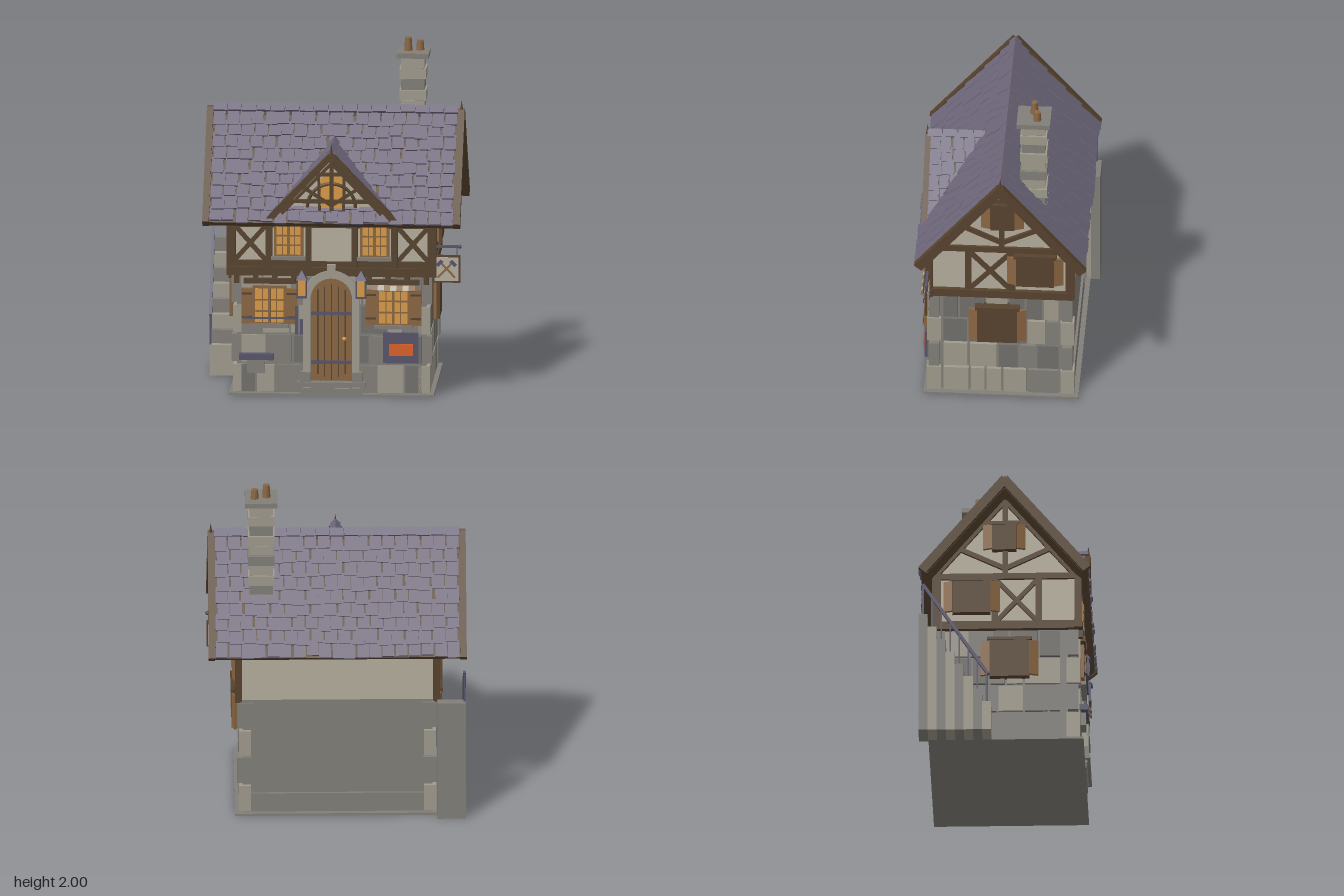
import * as THREE from 'three';
import { mergeGeometries } from 'three/addons/utils/BufferGeometryUtils.js';

const mat = (name, color) => Object.assign(new THREE.MeshStandardMaterial({ color }), { name });

export function createModel() {
  const slate = mat('slate', 0x6e677a), dark = mat('darkWood', 0x57432e), wood = mat('wood', 0x8a6642);
  const plaster = mat('plaster', 0xb5ae9d), pale = mat('paleStone', 0xa09b8d), stone = mat('stone', 0x827f79);
  const grey = mat('greyStone', 0x71706b), glow = mat('glow', 0xd89b45), ember = mat('ember', 0xd9602a), iron = mat('iron', 0x58546a);
  const model = new THREE.Group();
  model.name = 'cottage';
  let seed = 7;
  const rnd = () => (seed = (seed * 16807) % 2147483647) / 2147483647;

  const add = (p, name, geo, m, pos = [0, 0, 0], rot = [0, 0, 0]) => {
    const mesh = new THREE.Mesh(geo, m);
    mesh.name = name;
    mesh.position.set(...pos);
    mesh.rotation.set(...rot);
    p.add(mesh);
    return mesh;
  };
  const box = (p, name, m, size, pos, rot) => add(p, name, new THREE.BoxGeometry(...size), m, pos, rot);
  const beam = (p, name, m, x1, y1, x2, y2, z, w = 0.035, d = 0.025) =>
    box(p, name, m, [Math.hypot(x2 - x1, y2 - y1), w, d], [(x1 + x2) / 2, (y1 + y2) / 2, z], [0, 0, Math.atan2(y2 - y1, x2 - x1)]);
  const group = (name, pos, rotY = 0, p = model) => {
    const g = new THREE.Group();
    g.name = name;
    g.position.set(...pos);
    g.rotation.y = rotY;
    p.add(g);
    return g;
  };
  const extrude = (pts, depth) => new THREE.ExtrudeGeometry(
    Array.isArray(pts) ? new THREE.Shape(pts.map(q => new THREE.Vector2(...q))) : pts, { depth, bevelEnabled: false, curveSegments: 16 });
  const arch = (r, y0, yc) => {
    const s = new THREE.Shape();
    s.moveTo(-r, y0).lineTo(r, y0).lineTo(r, yc).absarc(0, yc, r, 0, Math.PI, false);
    s.closePath();
    return s;
  };

  // Storeys
  box(model, 'baseSlab', stone, [1.19, 0.014, 0.9], [0, 0.007, 0.01]);
  box(model, 'lowerStorey', stone, [1.1, 0.72, 0.82], [0, 0.365, 0.015]);
  box(model, 'rearPlinth', stone, [1.08, 0.12, 0.02], [0, 0.07, -0.4]);
  const section = extrude([[-0.41, 0.73], [0.425, 0.73], [0.425, 1.03], [0.005, 1.53], [-0.41, 1.03]], 1.14);
  add(model, 'upperStorey', section.rotateY(-Math.PI / 2).translate(0.57, 0, 0), plaster);

  // Rows of uneven stones on a wall, merged by tone
  function stoneWall(p, u0, u1, z) {
    const tones = [[pale, []], [stone, []], [grey, []]];
    for (let r = 0; r < 4; r++) {
      for (let u = u0; u < u1 - 0.02;) {
        let w = 0.09 + rnd() * 0.09;
        if (u1 - u - w < 0.07) w = u1 - u;
        const g = new THREE.BoxGeometry(w - 0.013, 0.16, 0.04);
        tones[Math.floor(rnd() * 3)][1].push(g.translate(u + w / 2, 0.1 + r * 0.175, z));
        u += w;
      }
    }
    tones.forEach(([m, list]) => list.length && add(p, 'wallStones', mergeGeometries(list), m));
  }
  stoneWall(model, -0.53, 0.53, 0.42);
  for (const sx of [-1, 1]) for (const z of [0.4, -0.375]) for (let r = 0; r < 4; r++) {
    const k = r % 2 ? 0.02 : 0;
    box(model, 'cornerStone', r % 2 ? stone : pale, [0.07 + k, 0.16, 0.08 - k], [sx * 0.537, 0.1 + r * 0.175, z]);
  }

  // Front timber frame
  const front = group('frontTimbers', [0, 0, 0]);
  beam(front, 'jettyBeam', dark, -0.61, 0.735, 0.61, 0.735, 0.43, 0.05, 0.05);
  beam(front, 'sillBeam', dark, -0.6, 0.78, 0.6, 0.78, 0.43, 0.035, 0.03);
  beam(front, 'eaveBeam', dark, -0.6, 1.02, 0.6, 1.02, 0.43, 0.05, 0.03);
  box(front, 'centrePanel', plaster, [0.23, 0.23, 0.016], [0, 0.885, 0.436]);
  for (const s of [-1, 1]) {
    for (const [x, w] of [[0.585, 0.05], [0.365, 0.04], [0.135, 0.035]]) beam(front, 'post', dark, s * x, 0.72, s * x, 1.03, 0.43, w, 0.035);
    beam(front, 'brace', dark, s * 0.385, 0.8, s * 0.56, 1, 0.428, 0.026);
    beam(front, 'brace', dark, s * 0.385, 1, s * 0.56, 0.8, 0.428, 0.026);
    for (let i = 0; i < 4; i++) box(front, 'jettyBlock', dark, [0.03, 0.05, 0.05], [s * (0.22 + i * 0.11), 0.69, 0.43]);
    beam(model, 'rearPost', dark, s * 0.575, 0.72, s * 0.575, 1.03, -0.4, 0.04, 0.04);
  }

  function litWindow(x, y, w, h, z) {
    const g = group('window', [x, y, z]);
    box(g, 'frame', wood, [w + 0.03, h + 0.03, 0.02], [0, 0, 0]);
    box(g, 'glass', glow, [w, h, 0.008], [0, 0, 0.01]);
    box(g, 'mullion', wood, [0.016, h, 0.012], [0, 0, 0.014]);
    for (const k of [-1, 1]) {
      box(g, 'crossBar', wood, [w, 0.009, 0.01], [0, k * h / 6, 0.013]);
      box(g, 'thinBar', wood, [0.006, h, 0.01], [k * w / 4, 0, 0.013]);
    }
    box(g, 'sill', stone, [w + 0.06, 0.022, 0.03], [0, -h / 2 - 0.02, 0.01]);
    return g;
  }
  for (const s of [-1, 1]) {
    litWindow(s * 0.25, 0.92, 0.14, 0.17, 0.435);
    const g = litWindow(s * 0.36, 0.535, 0.165, 0.2, 0.447);
    for (const k of [-1, 1]) {
      box(g, 'shutter', wood, [0.065, 0.21, 0.018], [k * 0.13, -0.005, 0.006]);
      for (const y of [-0.07, 0.07]) box(g, 'shutterRail', dark, [0.06, 0.012, 0.006], [k * 0.13, y, 0.017]);
    }
    box(g, 'lintel', dark, [0.3, 0.03, 0.035], [0, 0.145, 0.004]);
  }
  // Striped awning over the shop window
  const awning = group('awning', [0.36, 0.655, 0.462]);
  for (let i = 0; i < 7; i++) box(awning, 'awningStripe', i % 2 ? plaster : wood, [0.036, 0.055, 0.008], [(i - 3) * 0.036, 0, 0], [-0.6, 0, 0]);

  // Door with stone surround
  const surround = arch(0.165, 0.05, 0.58);
  surround.holes.push(arch(0.12, 0.05, 0.58));
  add(model, 'doorSurround', extrude(surround, 0.05), pale, [0, 0, 0.42]);
  add(model, 'door', extrude(arch(0.12, 0.09, 0.58), 0.025), wood, [0, 0, 0.42]);
  for (let i = -2; i <= 2; i++) box(model, 'plankGap', dark, [0.006, 0.5 + 0.07 * (2 - Math.abs(i)) / 2, 0.004], [i * 0.04, 0.38, 0.446]);
  for (const y of [0.2, 0.49]) box(model, 'doorBand', iron, [0.235, 0.02, 0.008], [0, y, 0.449]);
  add(model, 'doorKnob', new THREE.SphereGeometry(0.013, 10, 8), glow, [0.075, 0.34, 0.456]);
  box(model, 'keystone', pale, [0.05, 0.065, 0.06], [0, 0.75, 0.45]);
  box(model, 'doorStep', stone, [0.395, 0.028, 0.06], [0, 0.073, 0.457]);
  box(model, 'lowerStep', stone, [0.36, 0.05, 0.04], [0, 0.034, 0.445]);
  for (const s of [-1, 1]) {
    box(model, 'surroundBase', stone, [0.06, 0.06, 0.06], [s * 0.15, 0.115, 0.45]);
    const g = group('lantern', [s * 0.172, 0.645, 0.46]);
    box(g, 'lanternGlass', glow, [0.05, 0.1, 0.04], [0, 0, 0]);
    for (const k of [-1, 1]) box(g, 'lanternBar', iron, [0.008, 0.11, 0.044], [k * 0.026, 0, 0]);
    box(g, 'lanternFoot', iron, [0.062, 0.012, 0.05], [0, -0.055, 0]);
    add(g, 'lanternRoof', new THREE.ConeGeometry(0.046, 0.055, 4).rotateY(Math.PI / 4).toNonIndexed(), iron, [0, 0.075, 0]).geometry.computeVertexNormals();
  }

  // Hearth, bench and hanging tools on the front
  box(model, 'hearth', iron, [0.205, 0.18, 0.04], [0.403, 0.29, 0.44]);
  box(model, 'hearthFire', ember, [0.14, 0.07, 0.008], [0.405, 0.28, 0.462]);
  box(model, 'bench', iron, [0.2, 0.035, 0.05], [-0.435, 0.232, 0.46]);
  box(model, 'benchLeg', stone, [0.1, 0.08, 0.035], [-0.44, 0.175, 0.453]);
  box(model, 'toolRail', iron, [0.3, 0.01, 0.01], [-0.36, 0.463, 0.475]);
  box(model, 'hangingTool', iron, [0.02, 0.17, 0.012], [-0.2, 0.45, 0.462]);
  box(model, 'hangingTool', iron, [0.03, 0.09, 0.012], [-0.17, 0.41, 0.455]);

  // Hanging sign
  const sign = group('sign', [0.668, 0.76, 0.435]);
  box(sign, 'signFrame', dark, [0.162, 0.162, 0.016], [0, 0, 0]);
  box(sign, 'signBoard', plaster, [0.14, 0.14, 0.022], [0, 0, 0]);
  for (const k of [-1, 1]) {
    beam(sign, 'crossedTool', wood, -k * 0.05, -0.05, k * 0.03, 0.035, 0, 0.012, 0.028);
    beam(sign, 'toolHead', iron, k * 0.025, 0.05, k * 0.055, 0.02, 0, 0.02, 0.03);
    box(sign, 'signHanger', iron, [0.006, 0.05, 0.006], [k * 0.06, 0.105, 0]);
  }
  box(sign, 'signBracket', iron, [0.17, 0.014, 0.014], [0, 0.132, 0]);
  add(sign, 'bracketTip', new THREE.SphereGeometry(0.012, 8, 6), iron, [0.076, 0.132, 0]);

  // Side walls: timbers, stones and shuttered windows, mirrored
  for (const s of [-1, 1]) {
    const side = group('sideWall', [0, 0, 0], s * Math.PI / 2);
    const tim = (z1, y1, z2, y2, w = 0.032, x = 0.572) => beam(side, 'sideTimber', dark, -s * z1, y1, -s * z2, y2, x, w, 0.03);
    stoneWall(side, -0.35, 0.33, 0.55);
    tim(0.45, 0.735, -0.41, 0.735, 0.05, 0.58);
    tim(0.44, 1.05, -0.42, 1.05, 0.036);
    for (const z of [0.425, 0.2, -0.055, -0.385]) tim(z, 0.74, z, 1.04, 0.036);
    tim(0.185, 0.77, -0.04, 1.02, 0.026);
    tim(0.185, 1.02, -0.04, 0.77, 0.026);
    tim(0.005, 1.06, 0.005, 1.52);
    tim(0.14, 1.39, -0.13, 1.39, 0.026);
    for (const k of [-1, 1]) {
      tim(0.005, 1.1, 0.005 + k * 0.27, 1.23, 0.028);
      tim(0.005 + k * 0.41, 1.05, 0.005, 1.535, 0.03);
      tim(0.005 + k * 0.44, 1.08, 0.005, 1.6, 0.018, 0.72);
    }
    for (const [z, y, w, h] of [[-0.19, 0.915, 0.22, 0.21], [0.03, 0.52, 0.23, 0.24], [0, 1.295, 0.14, 0.17]]) {
      const g = group('sideWindow', [-s * z, y, 0.585], 0, side);
      box(g, 'windowPanel', dark, [w, h, 0.05], [0, 0, 0]);
      box(g, 'windowHead', dark, [w + 0.03, 0.02, 0.06], [0, h / 2, 0]);
      for (const k of [-1, 1]) box(g, 'sideShutter', wood, [0.055, h * 0.9, 0.018], [k * (w / 2 + 0.025), 0, 0.01], [0, k * 0.3, 0]);
    }
  }

  // Roof slopes: local y runs up the slope, local z points out
  function slope(name, pos, rotY, angle) {
    const g = group('slopeFrame', pos, rotY), inner = group(name, [0, 0, 0], 0, g);
    inner.rotation.x = angle - Math.PI / 2;
    return inner;
  }
  function shingles(p, rows, pitch, range, width) {
    const list = [];
    for (let r = 0; r < rows; r++) {
      const [a, b] = range(r * pitch);
      const n = Math.max(1, Math.round((b - a) / width)), w = (b - a) / n;
      for (let i = 0; i < n; i++) {
        const h = pitch + 0.012 + rnd() * 0.022;
        const off = i && i < n - 1 ? (rnd() - 0.5) * 0.012 : 0;
        const g = new THREE.BoxGeometry(w - 0.007, h, 0.014).rotateX(-0.1);
        list.push(g.translate(a + (i + 0.5) * w + off, -r * pitch - h / 2, 0.01));
      }
    }
    add(p, 'shingles', mergeGeometries(list), slate);
  }
  const pitch = Math.atan(1.2);
  for (const f of [0, 1]) {
    const g = slope('mainRoof', [0, 1.6, 0.005], f * Math.PI, pitch);
    box(g, 'roofDeck', dark, [1.45, 0.745, 0.035], [0, -0.372, -0.016]);
    shingles(g, 9, 0.0805, d => { const k = Math.round(d / 0.0805) % 2 * 0.01; return [-0.71 + k, 0.71 - k]; }, 0.076);
    for (const s of [-1, 1]) box(g, 'bargeBoard', dark, [0.038, 0.755, 0.055], [s * 0.73, -0.375, -0.004]);
    box(g, 'eaveBoard', dark, [1.46, 0.02, 0.04], [0, -0.738, -0.012]);
  }
  for (let i = 0; i < 17; i++) box(model, 'ridgeCap', slate, [0.079, 0.05, 0.05], [(i - 8) * 0.084, 1.602 + (i % 2) * 0.003, 0.005], [Math.PI / 4, 0, 0]);
  add(model, 'roofFinial', new THREE.ConeGeometry(0.016, 0.09, 6), dark, [0.73, 1.625, 0.005]);

  // Front dormer
  const dAngle = Math.atan2(0.4, 0.37);
  for (const s of [-1, 1]) {
    const g = slope('dormerRoof', [0, 1.44, 0], s * Math.PI / 2, dAngle);
    add(g, 'dormerDeck', extrude([[-s * 0.48, 0], [-s * 0.13, 0], [-s * 0.48, -0.54]], 0.02), dark, [0, 0, -0.02]);
    shingles(g, 7, 0.076, d => [-s * 0.455, -s * Math.min(0.13 + 0.63 * d, 0.44)].sort((a, b) => a - b), 0.07);
    beam(model, 'dormerBarge', dark, 0, 1.43, s * 0.375, 1.035, 0.468, 0.036, 0.035);
    beam(model, 'dormerRafter', dark, 0, 1.38, s * 0.29, 1.08, 0.455, 0.018, 0.02);
    beam(model, 'dormerBrace', dark, 0, 1.13, s * 0.16, 1.235, 0.455, 0.018, 0.02);
    beam(model, 'dormerBrace', dark, s * 0.07, 1.1, s * 0.075, 1.33, 0.455, 0.016, 0.02);
  }
  add(model, 'dormerWall', extrude([[-0.35, 1.04], [0.35, 1.04], [0, 1.41]], 0.1), plaster, [0, 0, 0.33]);
  add(model, 'dormerWindow', extrude(arch(0.07, 1.08, 1.25), 0.008), glow, [0, 0, 0.431]);
  add(model, 'dormerArch', new THREE.TorusGeometry(0.14, 0.01, 6, 20, Math.PI), dark, [0, 1.12, 0.455]);
  beam(model, 'dormerPost', dark, 0, 1.1, 0, 1.42, 0.455, 0.022);
  beam(model, 'dormerTie', dark, -0.23, 1.155, 0.23, 1.155, 0.455, 0.02);
  beam(model, 'dormerCollar', dark, -0.09, 1.315, 0.09, 1.315, 0.455, 0.018);
  for (let i = 0; i < 4; i++) box(model, 'dormerRidge', slate, [0.044, 0.044, 0.084], [0, 1.445, 0.43 - i * 0.09], [0, 0, Math.PI / 4]);
  add(model, 'dormerFinial', new THREE.ConeGeometry(0.016, 0.1, 6), dark, [0, 1.455, 0.472]);

  // Chimney
  for (let i = 0; i < 10; i++) {
    const w = i % 2 ? 0.138 : 0.155;
    box(model, 'chimneyCourse', i % 3 === 1 ? stone : pale, [w, 0.059, w], [0.44, 1.29 + i * 0.0635, -0.175]);
  }
  box(model, 'chimneyCore', stone, [0.13, 0.65, 0.13], [0.44, 1.575, -0.175]);
  box(model, 'chimneyCap', stone, [0.188, 0.03, 0.195], [0.44, 1.908, -0.175]);
  for (const [x, z, top] of [[0.41, -0.175, 2], [0.478, -0.195, 1.98]])
    add(model, 'chimneyPot', new THREE.CylinderGeometry(0.019, 0.024, top - 1.92, 12), wood, [x, (top + 1.92) / 2, z]);

  // Outside stair along the left wall, with railing
  for (let i = 0; i < 8; i++) {
    const h = 0.18 + i * 0.08, z = -0.1 - i * 0.0525;
    box(model, 'stairStep', i % 2 ? stone : pale, [0.16, h, 0.0525], [-0.66, h / 2, z]);
    box(model, 'railPost', iron, [0.01, 0.19, 0.01], [-0.735, h + 0.095, z]);
  }
  box(model, 'landing', stone, [0.165, 0.74, 0.05], [-0.66, 0.37, -0.47]);
  const rail = group('stairRail', [-0.735, 0, 0], Math.PI / 2);
  beam(rail, 'handrail', iron, 0.09, 0.355, 0.468, 0.93, 0, 0.018, 0.018);
  return model;
}
